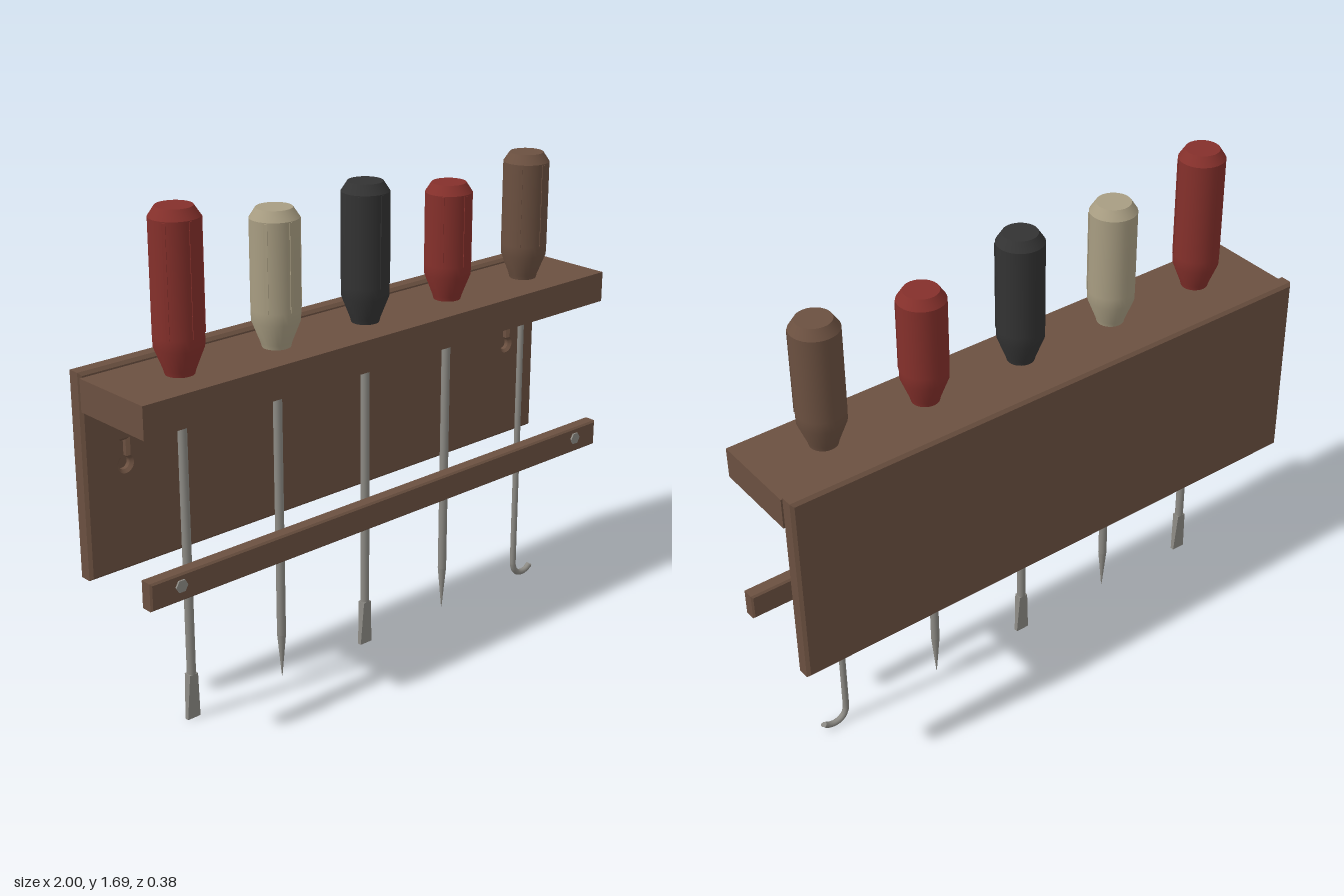
import * as THREE from 'three';
import { toCreasedNormals } from 'three/addons/utils/BufferGeometryUtils.js';

const mat = (color) => new THREE.MeshStandardMaterial({ color });
const wood = mat(0x6b5040), steel = mat(0x8c8a84);
const red = mat(0x85302b), ivory = mat(0xa89d82), black = mat(0x333333), brown = mat(0x6b5040);
const TOOL_Z = 0.032, SHELF_TOP = 1.175;

function add(parent, name, geometry, material, x = 0, y = 0, z = 0) {
  const mesh = new THREE.Mesh(geometry, material);
  mesh.name = name;
  mesh.position.set(x, y, z);
  parent.add(mesh);
  return mesh;
}

// Rectangular slab with chamfered edges; back face at z = 0
function chamferedSlab(w, h, d, c, holes = []) {
  const x = w / 2 - c, y = h / 2 - c;
  const shape = new THREE.Shape([[-x, -y], [x, -y], [x, y], [-x, y]].map((p) => new THREE.Vector2(...p)));
  shape.holes.push(...holes);
  const geo = new THREE.ExtrudeGeometry(shape, {
    depth: d - 2 * c, bevelEnabled: true, bevelSize: c, bevelThickness: c, bevelSegments: 1, curveSegments: 20,
  });
  return geo.translate(0, 0, c);
}

// Keyhole outline: round opening with a narrower slot above it
function keyhole(ShapeType, cx, cy) {
  const r = 0.031, half = 0.02, top = 0.085;
  const a = Math.acos(half / r);
  const s = new ShapeType();
  s.moveTo(cx + half, cy + top);
  s.lineTo(cx - half, cy + top);
  s.absarc(cx, cy, r, Math.PI - a, 2 * Math.PI + a, false);
  s.closePath();
  return s;
}

// Handle: turned grip with a tapered neck and three slim ribs towards the front
function addHandle(tool, top, material) {
  const profile = [[0, SHELF_TOP], [0.046, SHELF_TOP], [0.05, 1.19], [0.078, 1.262],
    [0.079, 1.3], [0.079, top - 0.032], [0.058, top], [0, top]].map((p) => new THREE.Vector2(...p));
  add(tool, 'handle', toCreasedNormals(new THREE.LatheGeometry(profile, 32), 0.4), material);
  const ribTop = top - 0.035;
  for (const angle of [-Math.PI / 3, 0, Math.PI / 3]) {
    const rib = add(tool, 'handleRib', new THREE.BoxGeometry(0.012, ribTop - 1.3, 0.008), material,
      Math.sin(angle) * 0.077, (ribTop + 1.3) / 2, Math.cos(angle) * 0.077);
    rib.rotation.y = angle;
  }
}

function addShaft(tool, bottom, r) {
  const h = SHELF_TOP - bottom;
  add(tool, 'shaft', new THREE.CylinderGeometry(r, r, h, 16), steel, 0, bottom + h / 2, 0);
}

// Flat blade: widens in x and thins in z towards the tip
function addBlade(tool) {
  addShaft(tool, 0.16, 0.015);
  const geo = new THREE.BoxGeometry(1, 0.16, 1), p = geo.attributes.position;
  for (let i = 0; i < p.count; i++) {
    const low = p.getY(i) < 0;
    p.setX(i, p.getX(i) * (low ? 0.05 : 0.032));
    p.setZ(i, p.getZ(i) * (low ? 0.014 : 0.028));
  }
  geo.computeVertexNormals();
  add(tool, 'blade', geo, steel, 0, 0.08, 0);
}

// Pointed tip
function addPoint(tool) {
  addShaft(tool, 0.165, 0.015);
  add(tool, 'point', new THREE.CylinderGeometry(0.015, 0.001, 0.155, 16), steel, 0, 0.0875, 0);
}

// Bent hook at the end of a thinner shaft
function addHook(tool) {
  addShaft(tool, 0.065, 0.011);
  const curve = new THREE.CatmullRomCurve3([[0, 0.07], [0.001, 0.055], [0.01, 0.031], [0.029, 0.015],
    [0.053, 0.011], [0.073, 0.016], [0.09, 0.027]].map(([x, y]) => new THREE.Vector3(x, y, 0)));
  add(tool, 'hook', new THREE.TubeGeometry(curve, 28, 0.011, 12), steel);
  const end = add(tool, 'hookEnd', new THREE.CircleGeometry(0.011, 12), steel, 0.09, 0.027, 0);
  end.lookAt(end.position.clone().add(curve.getTangent(1)));
}

export function createModel() {
  const model = new THREE.Group();
  model.name = 'toolRack';

  // Back board with two blind keyholes, each closed from behind by a plug
  const boardY = 0.8475, sides = [-1, 1];
  const holes = sides.map((s) => keyhole(THREE.Path, s * 0.85, 0.86 - boardY));
  add(model, 'backBoard', chamferedSlab(2, 0.685, 0.06, 0.01, holes), wood, 0, boardY, -0.19);
  for (const s of sides) {
    const plug = new THREE.ExtrudeGeometry(keyhole(THREE.Shape, 0, 0),
      { depth: 0.035, bevelEnabled: false, curveSegments: 20 });
    add(model, 'keyholeFloor', plug, wood, s * 0.85, 0.86, -0.19);
  }

  // Shelf that carries the tools
  add(model, 'shelf', new THREE.BoxGeometry(2, 0.107, 0.315), wood, 0, SHELF_TOP - 0.0535, 0.0285);

  // Front rail with hexagonal screws
  add(model, 'frontRail', chamferedSlab(2, 0.092, 0.05, 0.006), wood, 0, 0.565, 0.136);
  for (const s of sides) {
    const screw = add(model, 'railScrew', new THREE.CylinderGeometry(0.022, 0.022, 0.012, 6), steel,
      s * 0.888, 0.572, 0.186);
    screw.geometry.rotateY(Math.PI / 6);
    screw.material = mat(0x8c8a84);
    screw.material.flatShading = true;
    screw.rotation.x = Math.PI / 2;
  }

  // Five tools from the model's right to its left
  const tools = [
    ['flatScrewdriverLong', 1.69, red, addBlade],
    ['awlLong', 1.62, ivory, addPoint],
    ['flatScrewdriver', 1.64, black, addBlade],
    ['awlShort', 1.575, red, addPoint],
    ['hookTool', 1.62, brown, addHook],
  ];
  tools.forEach(([name, top, material, addTip], i) => {
    const tool = new THREE.Group();
    tool.name = name;
    tool.position.set((i - 2) * 0.375, 0, TOOL_Z);
    addHandle(tool, top, material);
    addTip(tool);
    model.add(tool);
  });
  return model;
}
